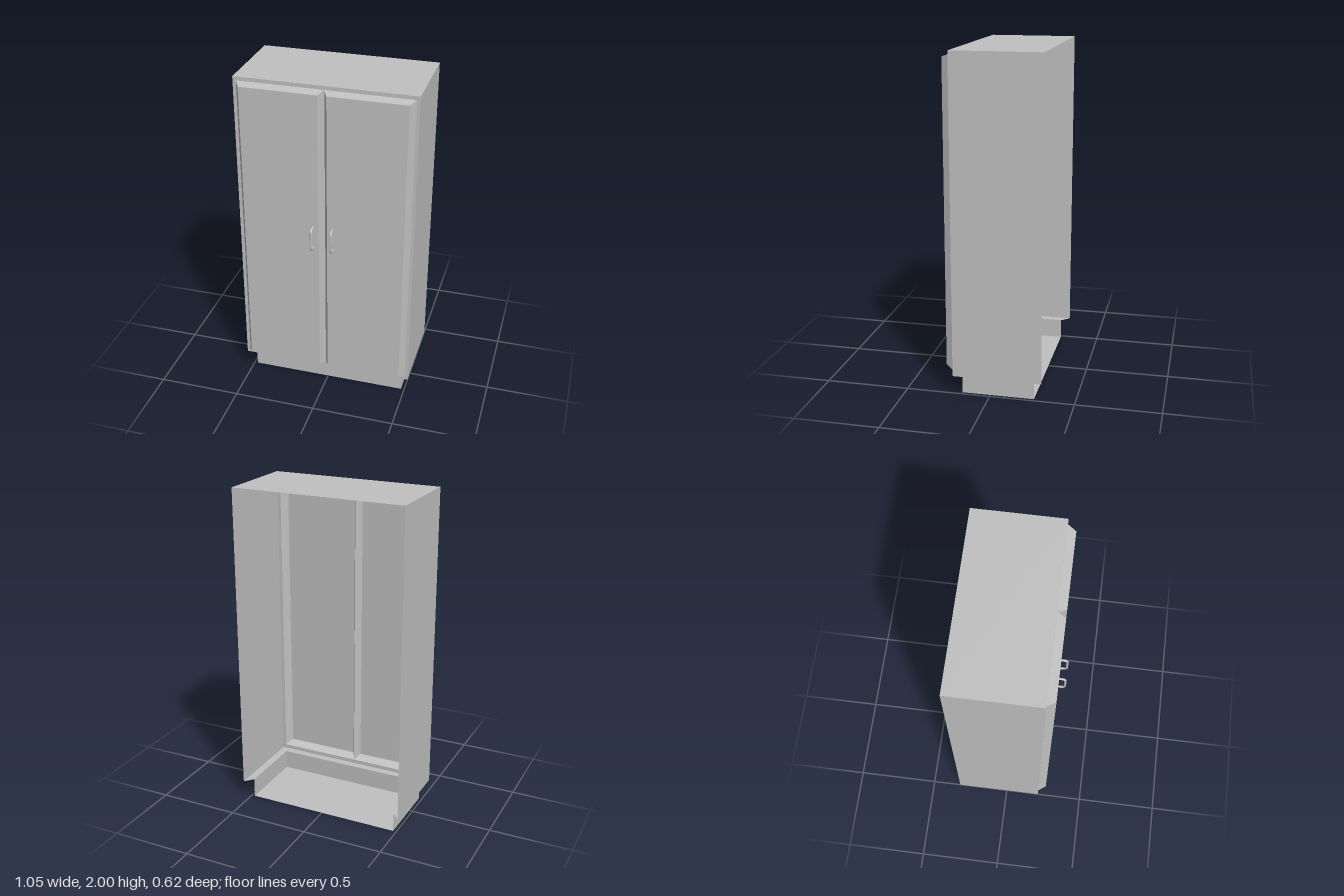
import * as THREE from 'three';

const W = 0.527, BACK = -0.311, FRONT = 0.214, BOTTOM = 0.12, TOP = 2;
const BASE_W = 0.48, BASE_BACK = -0.26, BASE_FRONT = 0.168;

const grey = new THREE.MeshStandardMaterial({ color: 0xc0c0c0, side: THREE.DoubleSide });
grey.name = 'cabinetGrey';

// Flat four-cornered panels, corners counter-clockwise seen from outside
function panels(name, quads) {
  const pos = [];
  for (const [a, b, c, d] of quads) pos.push(...a, ...b, ...c, ...a, ...c, ...d);
  const geo = new THREE.BufferGeometry();
  geo.setAttribute('position', new THREE.Float32BufferAttribute(pos, 3));
  geo.computeVertexNormals();
  const mesh = new THREE.Mesh(geo, grey);
  mesh.name = name;
  return mesh;
}

// Rectangle of corners facing +z
const rectZ = (x0, x1, y0, y1, z) => [[x0, y0, z], [x1, y0, z], [x1, y1, z], [x0, y1, z]];
// Rectangle of corners facing +y: back right, front right, front left, back left
const rectY = (w, back, front, y) => [[-w, y, back], [-w, y, front], [w, y, front], [w, y, back]];

// Strips joining two corner loops
function strips(outer, inner, sides = [0, 1, 2, 3]) {
  return sides.map((i) => {
    const j = (i + 1) % 4;
    return [outer[i], outer[j], inner[j], inner[i]];
  });
}

// D-shaped pull with rounded bends
function handle(name, x) {
  const z0 = 0.26, z1 = 0.303, y0 = 1.01, y1 = 1.145, r = 0.025;
  const v = (y, z) => new THREE.Vector3(x, y, z);
  const path = new THREE.CurvePath();
  path.add(new THREE.LineCurve3(v(y0, z0), v(y0, z1 - r)));
  path.add(new THREE.QuadraticBezierCurve3(v(y0, z1 - r), v(y0, z1), v(y0 + r, z1)));
  path.add(new THREE.LineCurve3(v(y0 + r, z1), v(y1 - r, z1)));
  path.add(new THREE.QuadraticBezierCurve3(v(y1 - r, z1), v(y1, z1), v(y1, z1 - r)));
  path.add(new THREE.LineCurve3(v(y1, z1 - r), v(y1, z0)));
  const group = new THREE.Group();
  group.name = name;
  const bar = new THREE.Mesh(new THREE.TubeGeometry(path, 40, 0.007, 12), grey);
  bar.name = 'handleBar';
  group.add(bar);
  // End caps behind the door skin
  for (const y of [y0, y1]) {
    const cap = new THREE.Mesh(new THREE.CircleGeometry(0.007, 12), grey);
    cap.name = 'handleEnd';
    cap.rotation.y = Math.PI;
    cap.position.set(x, y, z0);
    group.add(cap);
  }
  return group;
}

export function createModel() {
  const model = new THREE.Group();
  model.name = 'cabinet';

  // Open-backed body shell: two sides, top and underside rim
  const top = rectY(W, BACK, FRONT, TOP);
  const low = rectY(W, BACK, FRONT, BOTTOM);
  const baseTop = rectY(BASE_W, BASE_BACK, BASE_FRONT, BOTTOM);
  const baseLow = rectY(BASE_W, BASE_BACK, BASE_FRONT, 0);
  model.add(panels('bodySides', strips(low, top, [0, 2])));
  model.add(panels('bodyTop', [top]));
  model.add(panels('bodyUnderside', strips(baseTop, low, [0, 1, 2])));

  // Recessed plinth, open at the back and top
  model.add(panels('plinthWalls', strips(baseLow, baseTop, [0, 1, 2])));
  model.add(panels('plinthFloor', [[...baseLow].reverse()]));

  // Front frame around the pair of doors
  model.add(panels('frontFrame', strips(
    rectZ(-W, W, BOTTOM, TOP, FRONT),
    rectZ(-0.507, 0.507, 0.144, 1.978, FRONT))));

  // Raised doors with sloping edges, and their handles
  for (const s of [-1, 1]) {
    const side = s > 0 ? 'left' : 'right';
    const span = (a, b) => (s > 0 ? [a, b] : [-b, -a]);
    const rim = rectZ(...span(0, 0.507), 0.144, 1.978, FRONT);
    const face = rectZ(...span(0.025, 0.479), 0.17, 1.962, 0.262);
    model.add(panels(side + 'DoorBevel', strips(rim, face)));
    model.add(panels(side + 'DoorPanel', [face]));
    model.add(handle(side + 'Handle', s * 0.059));
  }
  return model;
}
